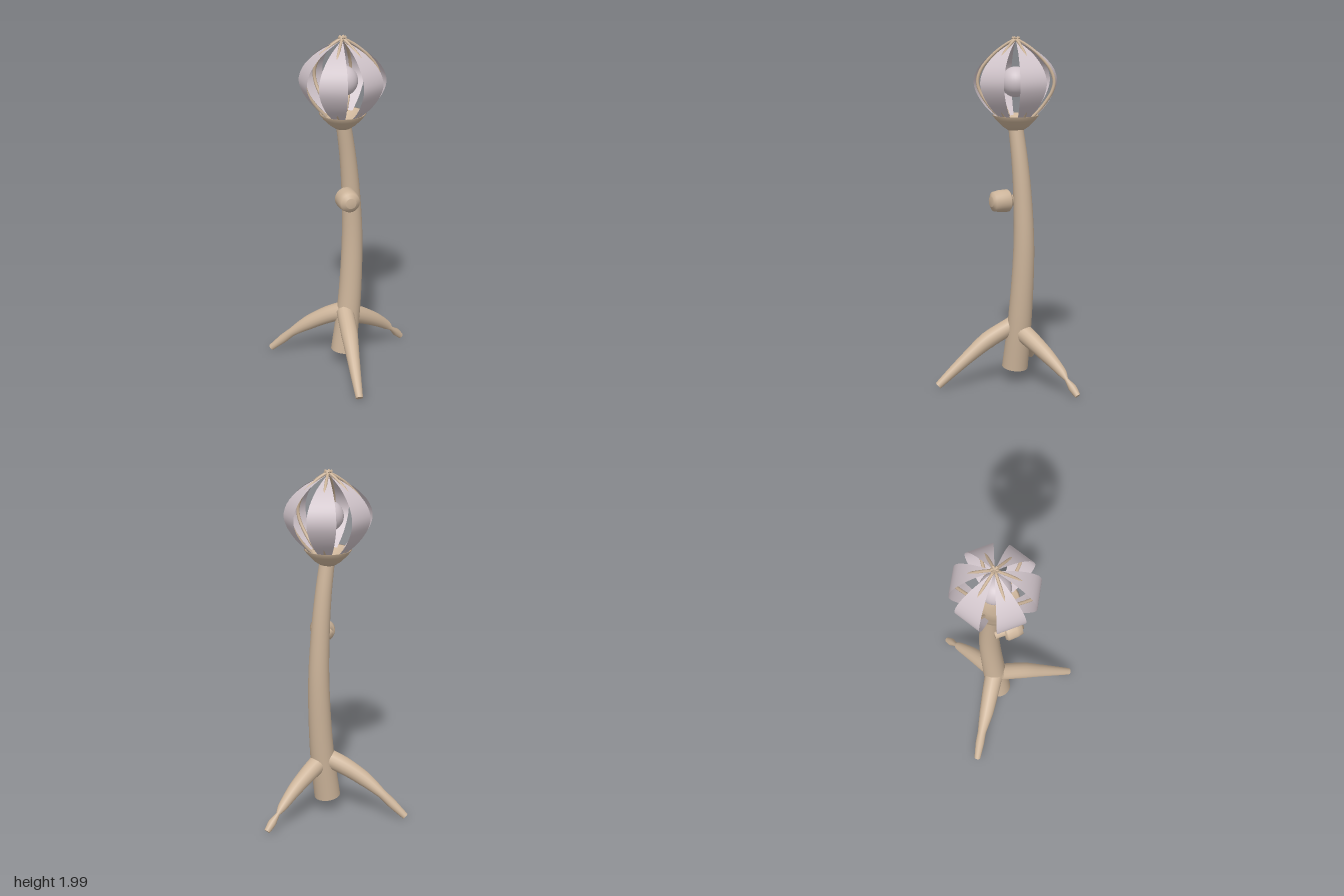
import * as THREE from 'three';
import { mergeGeometries } from 'three/addons/utils/BufferGeometryUtils.js';

const V = (x, y, z) => new THREE.Vector3(x, y, z);

// Capped tube through [x, y, z, radius] points
function taperedTube(points, rings, sides) {
  const curve = new THREE.CatmullRomCurve3(points.map(([x, y, z]) => V(x, y, z)));
  const last = points.length - 1;
  const radiusAt = (u) => {
    const t = curve.getUtoTmapping(u) * last;
    const i = Math.min(Math.floor(t), last - 1);
    return THREE.MathUtils.lerp(points[i][3], points[i + 1][3], t - i);
  };
  const tube = new THREE.TubeGeometry(curve, rings, 1, sides);
  const pos = tube.attributes.position;
  const p = V(0, 0, 0);
  for (let i = 0; i < pos.count; i++) {
    const u = Math.floor(i / (sides + 1)) / rings;
    const c = curve.getPointAt(u);
    p.fromBufferAttribute(pos, i).sub(c).multiplyScalar(radiusAt(u)).add(c);
    pos.setXYZ(i, p.x, p.y, p.z);
  }
  const caps = [0, 1].map((u) => {
    const cap = new THREE.CircleGeometry(points[u * last][3], sides);
    const dir = curve.getTangentAt(u).multiplyScalar(u ? 1 : -1);
    cap.applyQuaternion(new THREE.Quaternion().setFromUnitVectors(V(0, 0, 1), dir));
    const c = curve.getPointAt(u);
    return cap.translate(c.x, c.y, c.z);
  });
  return mergeGeometries([tube, ...caps]);
}

// Curved strip facing +z whose width grows with its distance from the axis
function petalGeometry(curve) {
  const geo = new THREE.PlaneGeometry(1, 1, 1, 20);
  const pos = geo.attributes.position;
  for (let i = 0; i < pos.count; i++) {
    const q = curve.getPoint(pos.getY(i) + 0.5);
    pos.setXYZ(i, pos.getX(i) * 0.7 * q.x, q.y, q.x);
  }
  geo.computeVertexNormals();
  return geo;
}

export function createModel() {
  const model = new THREE.Group();
  model.name = 'lanternPlant';
  const bark = new THREE.MeshStandardMaterial({ color: 0xccb49a });
  bark.name = 'bark';
  const lilac = new THREE.MeshStandardMaterial({ color: 0xcfc3c9, side: THREE.DoubleSide });
  lilac.name = 'lilac';
  const barkOpen = bark;
  const add = (parent, name, geo, mat) => {
    const mesh = new THREE.Mesh(geo, mat);
    mesh.name = name;
    parent.add(mesh);
    return mesh;
  };

  // Bowed trunk
  add(model, 'trunk', taperedTube([
    [-0.03, 0.095, -0.085, 0.075], [0.01, 0.4, -0.098, 0.068], [0.032, 0.8, -0.11, 0.06],
    [0.023, 1.08, -0.107, 0.053], [0.003, 1.3, -0.098, 0.047], [-0.026, 1.5, -0.085, 0.042],
  ], 40, 24), bark);

  // Three root legs
  const legs = {
    frontLeg: [[-0.025, 0.35, -0.07, 0.05], [-0.045, 0.27, 0.08, 0.049], [-0.06, 0.185, 0.19, 0.038],
      [-0.073, 0.1, 0.29, 0.029], [-0.083, 0.025, 0.375, 0.021]],
    leftLeg: [[0.02, 0.32, -0.1, 0.055], [0.1, 0.275, -0.135, 0.05], [0.2, 0.21, -0.18, 0.041],
      [0.295, 0.132, -0.226, 0.026], [0.325, 0.1, -0.238, 0.011], [0.365, 0.06, -0.255, 0.024],
      [0.4, 0.022, -0.27, 0.017]],
    rightLeg: [[-0.01, 0.345, -0.1, 0.055], [-0.1, 0.3, -0.16, 0.051], [-0.2, 0.23, -0.228, 0.043],
      [-0.285, 0.15, -0.292, 0.026], [-0.335, 0.095, -0.327, 0.027], [-0.4, 0.023, -0.37, 0.019]],
  };
  for (const [name, pts] of Object.entries(legs)) add(model, name, taperedTube(pts, 36, 16), bark);

  // Side bud with a small stub at each end
  const budProfile = [[0, -0.1], [0.03, -0.1], [0.03, -0.046], [0.055, -0.045], [0.064, -0.035],
    [0.062, 0.02], [0.055, 0.052], [0.03, 0.06], [0.03, 0.066], [0, 0.066]];
  const bud = new THREE.LatheGeometry(budProfile.map(([r, y]) => new THREE.Vector2(r, y)), 28);
  add(model, 'sideBud', bud.rotateX(Math.PI / 2), bark).position.set(-0.03, 1.08, 0);

  // Flower head
  const head = new THREE.Group();
  head.name = 'flowerHead';
  head.position.set(-0.03, 0, -0.087);
  model.add(head);

  const cupProfile = [[0, 1.475], [0.043, 1.478], [0.075, 1.5], [0.11, 1.535], [0.131, 1.562],
    [0.122, 1.562], [0.1, 1.54], [0.06, 1.515], [0, 1.505]];
  add(head, 'cup', new THREE.LatheGeometry(cupProfile.map(([r, y]) => new THREE.Vector2(r, y)), 36), barkOpen);
  add(head, 'core', new THREE.SphereGeometry(0.085, 28, 18), lilac).position.y = 1.748;

  // Six ribs crossing at the tip, each backing a petal
  const rib = taperedTube([
    [0, 1.55, 0.095, 0.009], [0, 1.62, 0.155, 0.009], [0, 1.7, 0.204, 0.009], [0, 1.755, 0.214, 0.009],
    [0, 1.82, 0.192, 0.009], [0, 1.89, 0.135, 0.009], [0, 1.945, 0.07, 0.008],
    [0, 1.98, 0.01, 0.008], [0, 1.992, -0.022, 0.007],
  ], 40, 8);
  const petal = petalGeometry(new THREE.CatmullRomCurve3([
    V(0.1, 1.55, 0), V(0.165, 1.615, 0), V(0.214, 1.695, 0), V(0.227, 1.755, 0),
    V(0.205, 1.825, 0), V(0.14, 1.898, 0), V(0.07, 1.943, 0), V(0.004, 1.975, 0),
  ]));
  for (let k = 0; k < 6; k++) {
    const angle = Math.PI / 2 + (k * Math.PI) / 3;
    add(head, 'rib', rib, bark).rotation.y = angle;
    add(head, 'petal', petal, lilac).rotation.y = angle;
  }
  return model;
}
